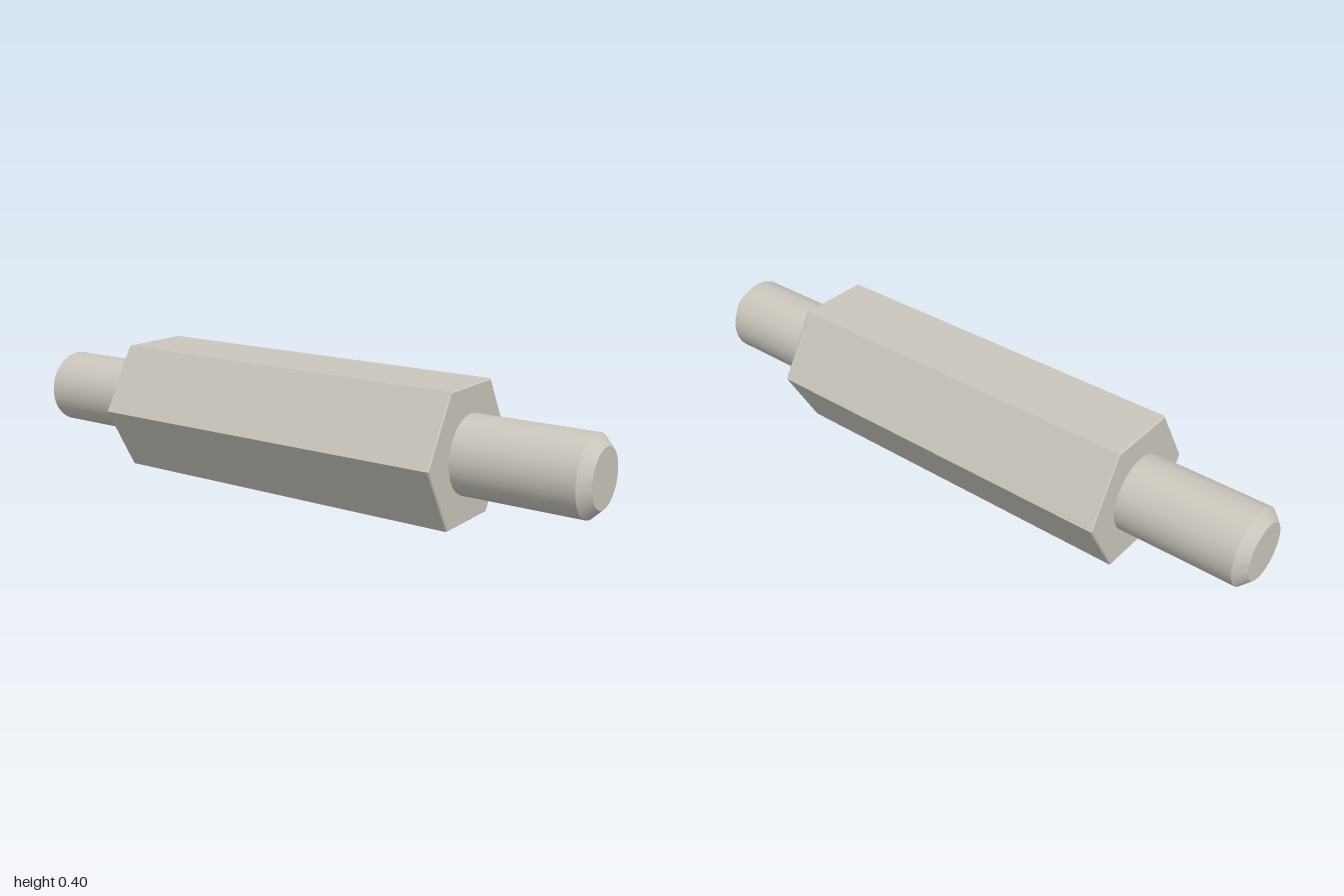
import * as THREE from 'three';
import { toCreasedNormals } from 'three/addons/utils/BufferGeometryUtils.js';

const HEX_HALF = 0.6;      // half length of the hexagonal body
const HEX_R = 0.231;       // corner radius, 0.4 across the flats
const STUD_R = 0.119;
const STUD_END = 1.003;    // distance from centre to stud tip
const CHAMFER = 0.032;
const BEVEL = 0.004;
const TILT = THREE.MathUtils.degToRad(-12);

// Revolve a [radius, position] profile and lay its axis along +x
function turned(profile, sides, crease) {
  const points = profile.map(([r, s]) => new THREE.Vector2(r, s));
  const geometry = new THREE.LatheGeometry(points, sides);
  geometry.rotateZ(-Math.PI / 2);
  return toCreasedNormals(geometry, crease);
}

export function createModel() {
  const metal = new THREE.MeshStandardMaterial({ color: 0xcac6bc });
  metal.name = 'warm grey metal';

  const group = new THREE.Group();
  group.name = 'hexStandoff';

  // Hexagonal body with a fine bevel at both ends
  const body = new THREE.Mesh(turned([
    [0, -HEX_HALF],
    [HEX_R - BEVEL, -HEX_HALF],
    [HEX_R, -HEX_HALF + BEVEL],
    [HEX_R, HEX_HALF - BEVEL],
    [HEX_R - BEVEL, HEX_HALF],
    [0, HEX_HALF],
  ], 6, 0.1), metal);
  body.name = 'hexBody';
  group.add(body);

  // Chamfered round stud on each end
  const studGeometry = turned([
    [STUD_R, HEX_HALF - 0.01],
    [STUD_R, STUD_END - CHAMFER],
    [STUD_R - CHAMFER, STUD_END],
    [0, STUD_END],
  ], 64, 0.4);
  for (const [name, turn] of [['leftStud', 0], ['rightStud', Math.PI]]) {
    const stud = new THREE.Mesh(studGeometry, metal);
    stud.name = name;
    stud.rotation.y = turn;
    group.add(stud);
  }

  // Lying on a flat, turned about the vertical
  group.rotation.y = TILT;
  group.position.y = HEX_R * Math.sqrt(3) / 2;

  const model = new THREE.Group();
  model.name = 'model';
  model.add(group);
  return model;
}
